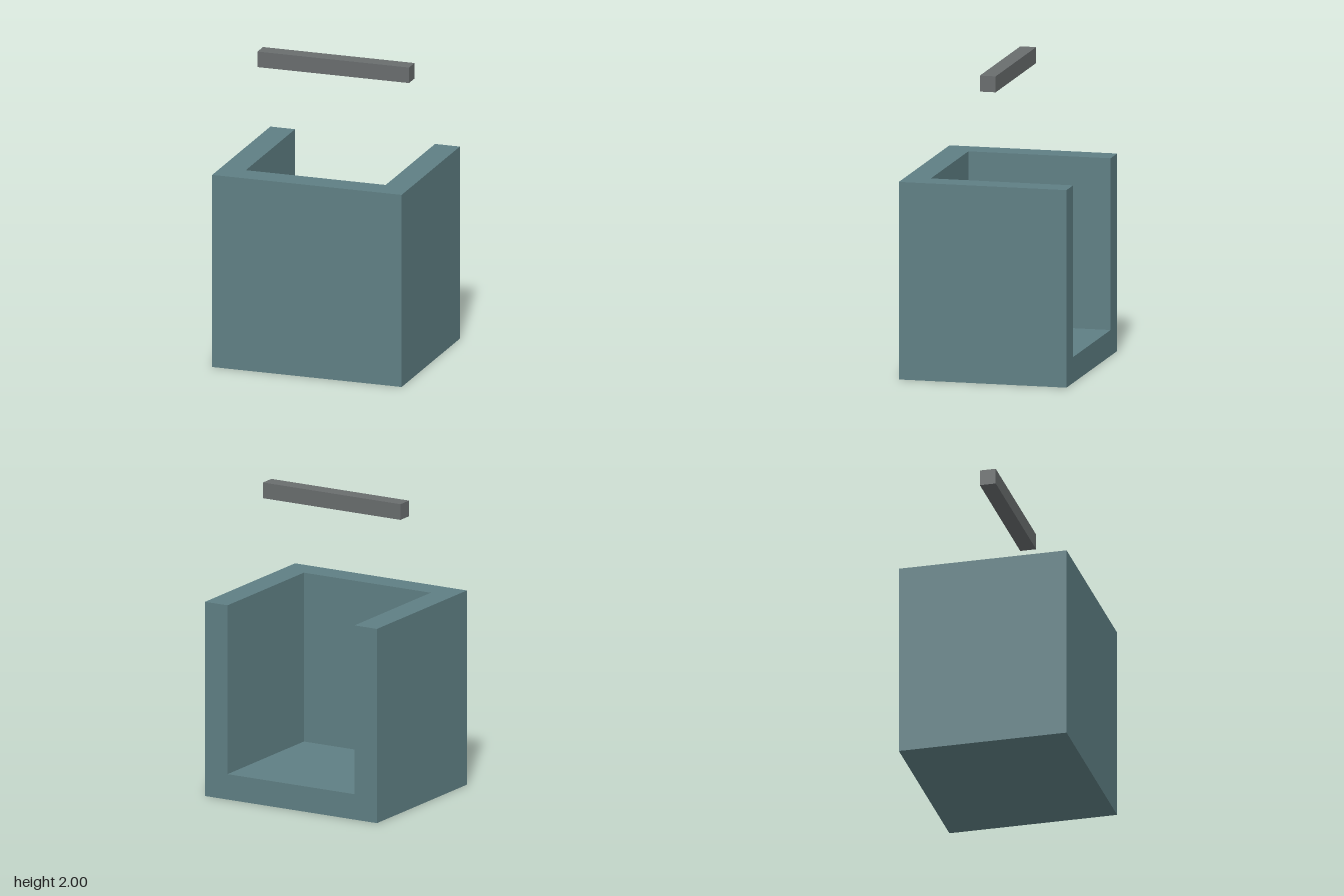
import * as THREE from 'three';

const W = 0.65, D = 0.56, H = 1.3, T = 0.17; // half width, half depth, height, wall thickness

export function createModel() {
  const model = new THREE.Group();
  const shellMaterial = new THREE.MeshStandardMaterial({ color: 0x5f7f84 });
  const barMaterial = new THREE.MeshStandardMaterial({ color: 0x696d6e });

  const add = (name, geometry, material, parent) => {
    const mesh = new THREE.Mesh(geometry, material);
    mesh.name = name;
    parent.add(mesh);
    return mesh;
  };

  // Open-topped box, open at the back
  const shell = new THREE.Group();
  shell.name = 'shell';
  model.add(shell);

  // U-shaped plan of the two sides and the front (plan y becomes -z), raised to full height
  const plan = new THREE.Shape([
    [-W, -D], [W, -D], [W, D], [W - T, D],
    [W - T, T - D], [T - W, T - D], [T - W, D], [-W, D],
  ].map(([x, y]) => new THREE.Vector2(x, y)));
  const walls = new THREE.ExtrudeGeometry(plan, { depth: H, bevelEnabled: false });
  walls.rotateX(-Math.PI / 2);
  add('walls', walls, shellMaterial, shell);

  // Floor slab between the walls, flush with the back
  const floor = new THREE.BoxGeometry(2 * (W - T), T, 2 * D - T);
  add('floor', floor, shellMaterial, shell).position.set(0, T / 2, -T / 2);

  // Bar floating above the box
  const bar = new THREE.BoxGeometry(1.04, 0.105, 0.106);
  add('overheadBar', bar, barMaterial, model).position.y = 2 - 0.105 / 2;

  return model;
}
